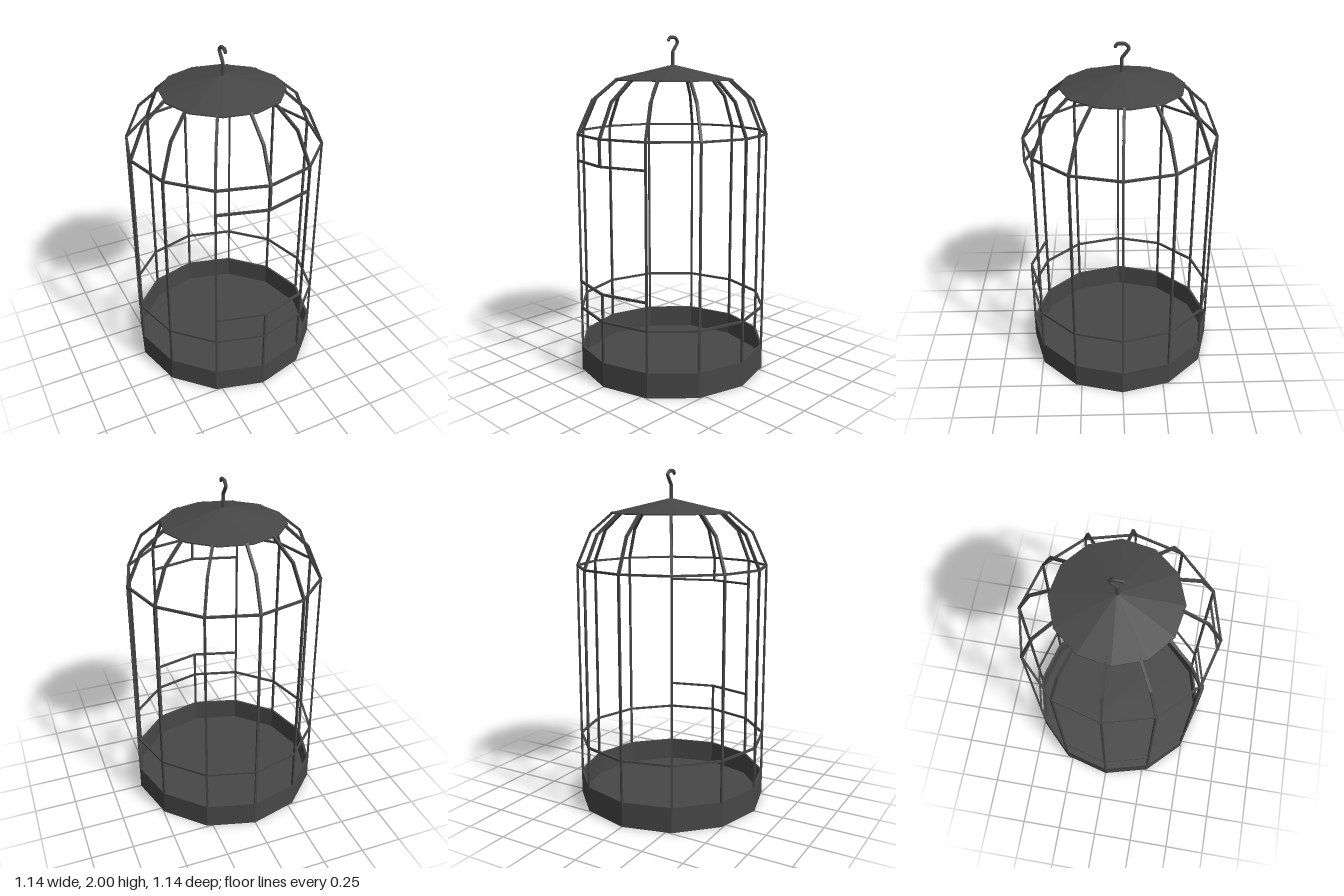
import * as THREE from 'three';

const SIDES = 12, R = 0.564, BAR = 0.0125, TOP_Z = -0.012;

export function createModel() {
  const cage = new THREE.Group();
  cage.name = 'birdcage';
  const iron = new THREE.MeshStandardMaterial({ color: 0x474747, flatShading: true });
  iron.name = 'dark iron';

  const add = (geometry, name, parent = cage) => {
    const mesh = new THREE.Mesh(geometry, iron);
    mesh.name = name;
    parent.add(mesh);
    return mesh;
  };
  const group = (name) => {
    const g = new THREE.Group();
    g.name = name;
    cage.add(g);
    return g;
  };
  const lathe = (pts) =>
    new THREE.LatheGeometry(pts.map(([r, y]) => new THREE.Vector2(r, y)), SIDES);
  const point = (i, r, y, dz = 0) => {
    const a = (i / SIDES) * Math.PI * 2;
    return new THREE.Vector3(Math.sin(a) * r, y, Math.cos(a) * r + dz);
  };
  // Square bar between two points, one face turned outward
  const bar = (a, b, name, parent, size = BAR) => {
    const mesh = add(new THREE.BoxGeometry(size, size, a.distanceTo(b) + size * 0.4), name, parent);
    mesh.position.copy(a).add(b).multiplyScalar(0.5);
    mesh.up.set(mesh.position.x, 0, mesh.position.z);
    mesh.lookAt(b);
    return mesh;
  };

  // Open tray with a thin wall and floor
  add(lathe([[0, 0], [0.57, 0], [0.57, 0.15], [0.556, 0.15], [0.556, 0.012], [0, 0.012]]), 'baseTray');

  // Horizontal hoops
  for (const [y, name] of [[0.395, 'lowerHoop'], [1.44, 'upperHoop']]) {
    const h = BAR / 2, o = 0.57, n = o - BAR;
    add(lathe([[n, y - h], [o, y - h], [o, y + h], [n, y + h], [n, y - h]]), name);
  }

  // Upright bars; the front one is interrupted by the doorway
  const uprights = group('uprightBars');
  for (let i = 0; i < SIDES; i++) {
    const spans = i === 0 ? [[0.14, 0.56], [1.29, 1.44]] : [[0.14, 1.44]];
    for (const [y0, y1] of spans) bar(point(i, R, y0), point(i, R, y1), 'uprightBar', uprights);
  }

  // Doorway rails above and below the opening
  const doorway = group('doorway');
  for (const y of [0.56, 1.29])
    for (const side of [-1, 1]) bar(point(0, R, y), point(side, R, y), 'doorRail', doorway);

  // Bent ribs of the dome
  const ribs = group('domeRibs');
  for (let i = 0; i < SIDES; i++) {
    const path = [point(i, R, 1.44), point(i, 0.478, 1.635, TOP_Z * 0.4), point(i, 0.342, 1.75, TOP_Z)];
    for (let k = 0; k < 2; k++) bar(path[k], path[k + 1], 'domeRib', ribs, 0.0145);
  }

  // Shallow conical roof, slightly turned
  const roof = add(lathe([[0, 1.745], [0.356, 1.745], [0.356, 1.752], [0, 1.835]]), 'roof');
  roof.rotation.y = 0.09;
  roof.position.z = TOP_Z;

  // Hanging hook
  const path = new THREE.CurvePath();
  const pts = [[-0.008, 1.82], [-0.008, 1.91], [-0.046, 1.958], [-0.046, 1.972], [-0.026, 1.99], [0.016, 1.99], [0.027, 1.975]]
    .map(([z, y]) => new THREE.Vector3(0, y, z));
  for (let i = 1; i < pts.length; i++) path.add(new THREE.LineCurve3(pts[i - 1], pts[i]));
  add(new THREE.TubeGeometry(path, 40, 0.01, 6), 'hook');
  const tip = add(new THREE.SphereGeometry(0.01, 6, 4), 'hookTip');
  tip.position.copy(pts[pts.length - 1]);

  return cage;
}
